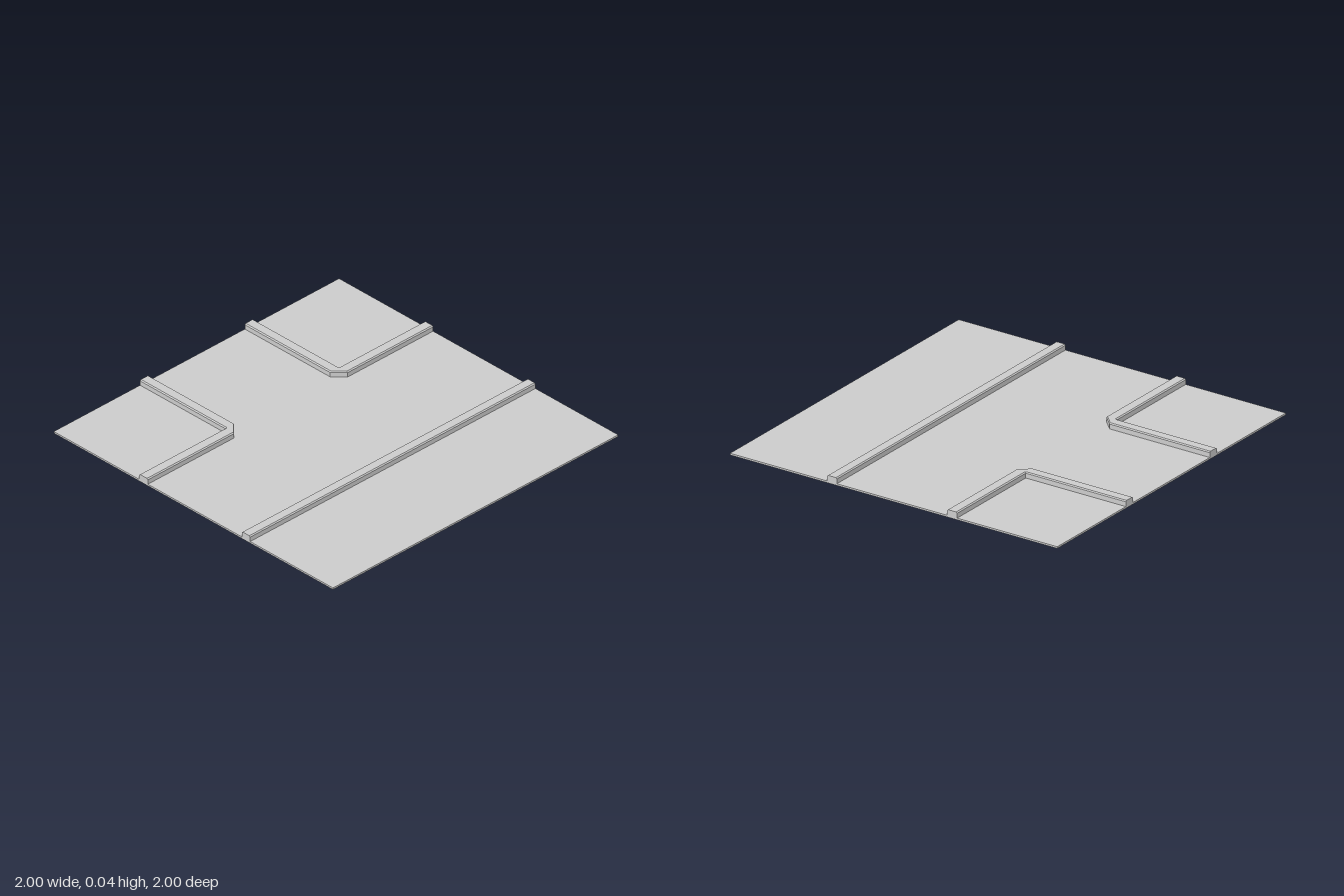
import * as THREE from 'three';

const BASE = 0.01, TOP = 0.042;
// Kerb cross-section: [fraction across the kerb, height], left to right
const PROFILE = [[0, BASE], [0, TOP - 0.006], [0.1, TOP], [0.9, TOP], [1, TOP - 0.006], [1, BASE]];

// Sweeps the profile through stations given as [left x, left z, right x, right z]
function kerbGeometry(stations) {
  const rings = stations.map(([ax, az, bx, bz]) => PROFILE.map(([t, y]) =>
    new THREE.Vector3(ax + (bx - ax) * t, y, az + (bz - az) * t)));
  const points = [];
  const tri = (a, b, c) => {
    // Skip triangles that collapse at a sharp inner corner
    if (a.distanceTo(b) > 1e-6 && b.distanceTo(c) > 1e-6 && c.distanceTo(a) > 1e-6) points.push(a, b, c);
  };
  const n = PROFILE.length;
  for (let i = 0; i < rings.length - 1; i++) {
    const p = rings[i], q = rings[i + 1];
    for (let j = 0; j < n; j++) {
      const k = (j + 1) % n;
      tri(p[j], p[k], q[k]);
      tri(p[j], q[k], q[j]);
    }
  }
  // End caps
  const first = rings[0], last = rings[rings.length - 1];
  for (let j = 1; j < n - 1; j++) {
    tri(first[0], first[j + 1], first[j]);
    tri(last[0], last[j], last[j + 1]);
  }
  const geometry = new THREE.BufferGeometry().setFromPoints(points);
  geometry.computeVertexNormals();
  return geometry;
}

export function createModel() {
  const model = new THREE.Group();
  model.name = 'roadJunctionTile';
  const material = new THREE.MeshStandardMaterial({ color: 0xcccccc, flatShading: true });
  const add = (name, geometry) => {
    const mesh = new THREE.Mesh(geometry, material);
    mesh.name = name;
    model.add(mesh);
    return mesh;
  };

  // Thin ground slab
  add('groundSlab', new THREE.BoxGeometry(2, BASE, 2)).position.y = BASE / 2;

  // Straight kerb along the through road
  add('straightKerb', kerbGeometry([[0.347, 1, 0.407, 1], [0.347, -1, 0.407, -1]]));

  // Corner kerbs with a chamfered outer corner, either side of the side road
  const xIn = -0.388, xOut = -0.326;
  const corner = (s, zIn, zOut) => {
    const stations = [
      [-1, s * zIn, -1, s * zOut],
      [xIn, s * zIn, xIn, s * zOut],
      [xIn, s * zIn, xOut, s * zIn],
      [xIn, s, xOut, s],
    ];
    return kerbGeometry(s < 0 ? stations : stations.reverse());
  };
  add('backCornerKerb', corner(-1, 0.4, 0.339));
  add('frontCornerKerb', corner(1, 0.395, 0.334));

  return model;
}
